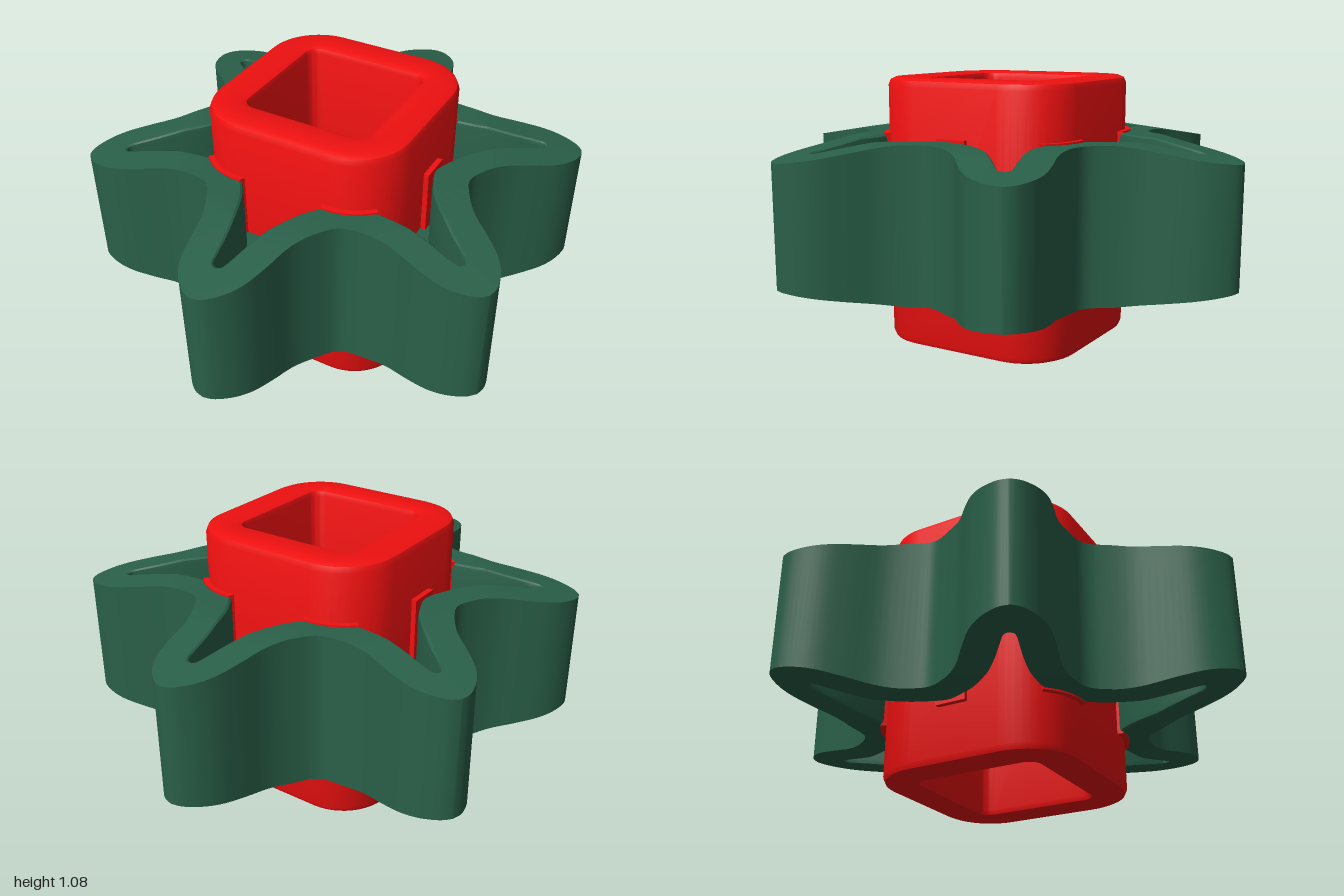
import * as THREE from 'three';
import { toCreasedNormals } from 'three/addons/utils/BufferGeometryUtils.js';

const green = new THREE.MeshStandardMaterial({ color: 0x2a6049 });
const red = new THREE.MeshStandardMaterial({ color: 0xf01010 });

// Skin a closed series of closed rings (each ring counter-clockwise from above)
function loft(rings) {
  const n = rings[0].length, m = rings.length, index = [];
  for (let j = 0; j < m; j++) {
    for (let i = 0; i < n; i++) {
      const a = j * n + i, b = j * n + (i + 1) % n;
      const c = ((j + 1) % m) * n + (i + 1) % n, d = ((j + 1) % m) * n + i;
      index.push(a, b, c, a, c, d);
    }
  }
  const g = new THREE.BufferGeometry().setFromPoints(rings.flat());
  g.setIndex(index);
  return toCreasedNormals(g, 0.6);
}

// Six-armed outline from half an arm, given as [along, across] from tip to valley
function starLoop(half) {
  const sixth = Math.PI / 3, c = Math.cos(sixth), s = Math.sin(sixth);
  // second half: mirror, then turn onto the next arm
  const back = half.slice(0, -1).reverse().map(([x, y]) => [x * c + y * s, x * s - y * c]);
  const curve = new THREE.SplineCurve([...half, ...back].map(([x, y]) => new THREE.Vector2(x, y)));
  const section = curve.getPoints(56).slice(0, -1);
  const loop = [];
  for (let k = 0; k < 6; k++) {
    const turn = Math.PI / 6 + k * sixth;
    section.forEach(p => loop.push(p.clone().rotateAround(new THREE.Vector2(), turn)));
  }
  return loop;
}

// Rounded square ring at height y
function squareRing(h, r, y) {
  const pts = [];
  for (let q = 0; q < 4; q++) {
    const mid = Math.PI / 4 + q * Math.PI / 2, d = (h - r) * Math.SQRT2;
    for (let i = 0; i <= 12; i++) {
      const a = (q + i / 12) * Math.PI / 2;
      pts.push(new THREE.Vector3(d * Math.cos(mid) + r * Math.cos(a), y, -d * Math.sin(mid) - r * Math.sin(a)));
    }
  }
  return pts;
}

// Distance from the axis to a rounded square in direction a
function squareRadius(a, h, r) {
  const x = Math.abs(Math.cos(a)), y = Math.abs(Math.sin(a)), k = h - r;
  const flat = h / Math.max(x, y);
  if (flat * Math.min(x, y) <= k) return flat;
  const p = k * (x + y);
  return p + Math.sqrt(p * p - 2 * k * k + r * r);
}

// Extrude a plan shape upward between two heights
function slab(shape, y0, y1) {
  const g = new THREE.ExtrudeGeometry(shape, { depth: y1 - y0, bevelEnabled: false, curveSegments: 48 });
  g.rotateX(-Math.PI / 2).translate(0, y0, 0);
  return toCreasedNormals(g, 0.6);
}

export function createModel() {
  const group = new THREE.Group();
  const add = (name, geometry, material) => {
    const mesh = new THREE.Mesh(geometry, material);
    mesh.name = name;
    group.add(mesh);
  };

  // Star rim: outer and pocket outlines, faces sloping down towards the tips
  const outer = starLoop([[1, 0], [0.985, 0.045], [0.935, 0.098], [0.87, 0.135],
    [0.78, 0.16], [0.66, 0.187], [0.56, 0.24], [0.503, 0.29]]);
  const inner = starLoop([[0.845, 0], [0.833, 0.02], [0.78, 0.032], [0.7, 0.048],
    [0.6, 0.078], [0.5, 0.12], [0.43, 0.168], [0.378, 0.218]]);
  const rimRing = (t, top, inset) => outer.map((p, i) => {
    const q = p.clone().lerp(inner[i], t);
    const drop = Math.max(0, (q.length() - 0.63) / 0.37) * 0.065 + inset;
    return new THREE.Vector3(q.x, top ? 0.85 - drop : 0.235 + drop, -q.y);
  });
  const across = [[0, 0], [0.25, 0], [0.5, 0], [0.75, 0], [0.92, 0], [0.98, 0.006], [1, 0.022]];
  add('starRim', loft([
    ...across.map(([t, d]) => rimRing(t, true, d)),
    ...across.slice().reverse().map(([t, d]) => rimRing(t, false, d)),
  ]), green);

  // Web closing the pockets at mid height
  const web = new THREE.Shape(outer.map(p => p.clone().multiplyScalar(0.92)));
  web.holes.push(new THREE.Path().absarc(0, 0, 0.385, 0, Math.PI * 2, true));
  add('pocketWeb', slab(web, 0.49, 0.595), green);

  // Square hub with a through hole and softened edges
  const hubProfile = [
    [0.385, 0.19, 0], [0.406, 0.211, 0.009], [0.415, 0.22, 0.03],
    [0.415, 0.22, 1.05], [0.406, 0.211, 1.071], [0.385, 0.19, 1.08],
    [0.285, 0.07, 1.08], [0.267, 0.055, 1.073], [0.26, 0.05, 1.055],
    [0.26, 0.05, 0.025], [0.267, 0.055, 0.007], [0.285, 0.07, 0],
  ];
  add('hub', loft(hubProfile.map(([h, r, y]) => squareRing(h, r, y))), red);

  // Pads joining the hub to the rim at each valley
  const pads = [[0, 8.5], [56, 12], [124, 12], [180, 8.5], [236, 12], [304, 12]];
  pads.forEach(([mid, spread]) => {
    const pts = [];
    for (let i = 0; i <= 12; i++) {
      const a = THREE.MathUtils.degToRad(mid - spread + spread * i / 6);
      const r = squareRadius(a, 0.437, 0.24);
      pts.push(new THREE.Vector2(r * Math.cos(a), r * Math.sin(a)));
    }
    const back = pts.map(p => p.clone().multiplyScalar(0.88)).reverse();
    add('hubPad', slab(new THREE.Shape([...pts, ...back]), 0.228, 0.857), red);
  });

  return group;
}
